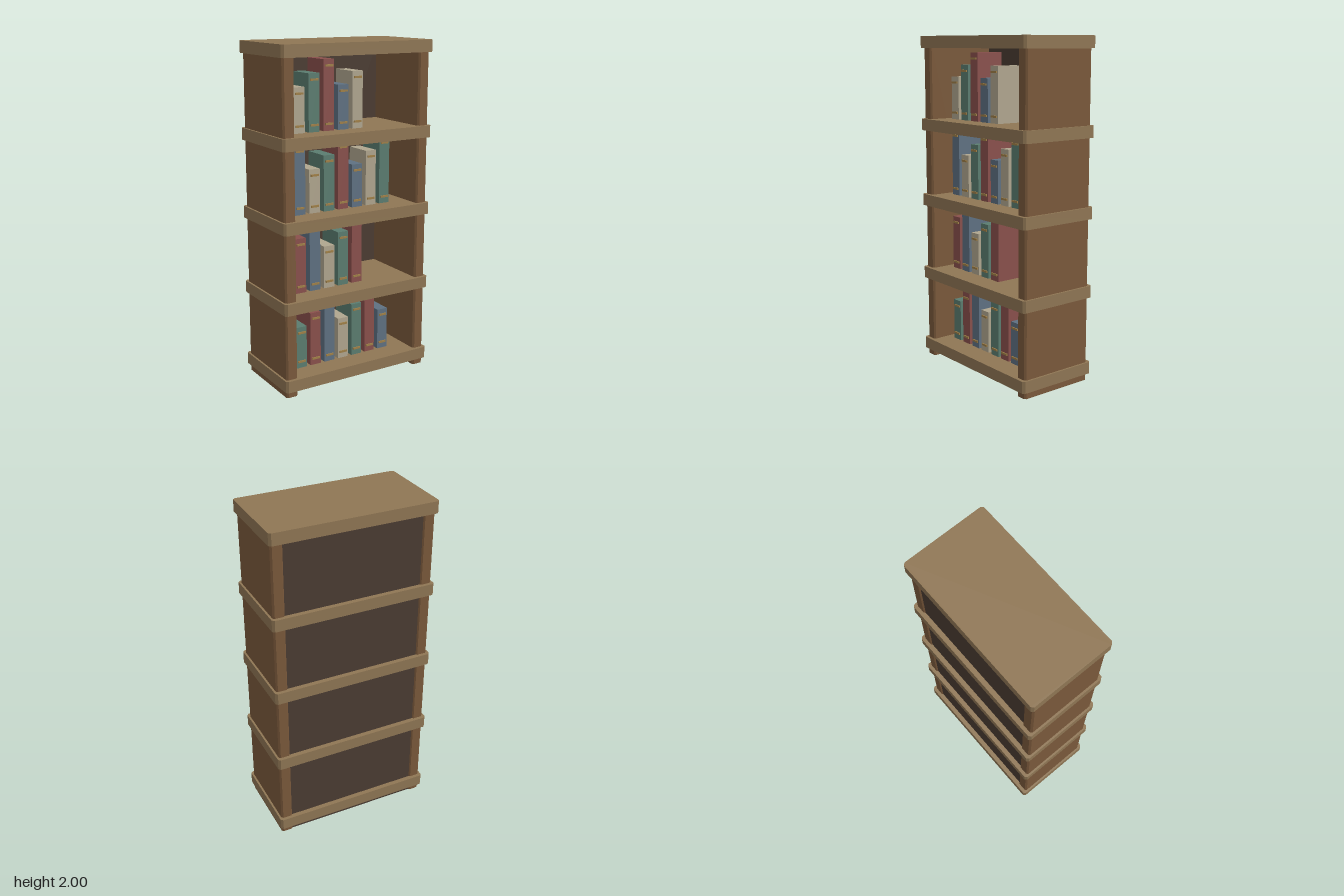
import * as THREE from 'three';

const mat = (color) => new THREE.MeshStandardMaterial({ color, flatShading: true });

const wood = mat(0x8f7654);
const sideWood = mat(0x7a593b);
const backWood = mat(0x4b3c32);
const gold = mat(0xa08048);
const covers = [0x5b7d70, 0x8a504c, 0x5f7182, 0xb0a68f].map(mat); // teal, red, blue, cream

// Upright board: a rectangle with cut corners, raised from y = 0 to y = h
function board(name, w, h, d, cut, material) {
  const x = w / 2, z = d / 2;
  const outline = [
    [x - cut, -z], [x, -z + cut], [x, z - cut], [x - cut, z],
    [-x + cut, z], [-x, z - cut], [-x, -z + cut], [-x + cut, -z],
  ].map(([a, b]) => new THREE.Vector2(a, b));
  const geo = new THREE.ExtrudeGeometry(new THREE.Shape(outline), { depth: h, bevelEnabled: false });
  geo.rotateX(-Math.PI / 2);
  const mesh = new THREE.Mesh(geo, material);
  mesh.name = name;
  return mesh;
}

function box(name, w, h, d, material) {
  const mesh = new THREE.Mesh(new THREE.BoxGeometry(w, h, d), material);
  mesh.name = name;
  return mesh;
}

// Book standing on y = 0, with two gold bands across its spine
function book(height, material) {
  const group = new THREE.Group();
  group.name = 'book';
  const depth = 0.175;
  const body = box('bookBody', 0.07, height, depth, material);
  body.position.y = height / 2;
  group.add(body);
  for (const y of [0.04, height - 0.035]) {
    const band = box('spineBand', 0.05, 0.012, 0.012, gold);
    band.position.set(0, y, depth / 2 + 0.001);
    group.add(band);
  }
  return group;
}

export function createModel() {
  const model = new THREE.Group();
  model.name = 'bookcase';

  // Side boards
  for (const s of [-1, 1]) {
    const side = board('sideBoard', 0.072, 1.96, 0.474, 0.01, sideWood);
    side.position.x = s * 0.446;
    model.add(side);
  }

  // Back panel, set in between the sides
  const back = box('backPanel', 0.83, 1.96, 0.025, backWood);
  back.position.set(0, 0.98, -0.217);
  model.add(back);

  // Shelves, the highest one being the top
  const thickness = 0.07;
  const shelfTops = [0.11, 0.575, 1.04, 1.505, 2];
  shelfTops.forEach((top, i) => {
    const shelf = board(i === 4 ? 'top' : 'shelf', 0.988, thickness, 0.516, 0.013, wood);
    shelf.position.y = top - thickness;
    model.add(shelf);
  });

  // Rows of books, cycling through three heights and four covers
  const heights = [0.255, 0.327, 0.4];
  [7, 5, 7, 5].forEach((count, row) => {
    for (let i = 0; i < count; i++) {
      const b = book(heights[(i + row) % 3], covers[(i + row) % 4]);
      b.position.set(-0.32 + i * 0.0955, shelfTops[row], 0.035);
      model.add(b);
    }
  });

  return model;
}
